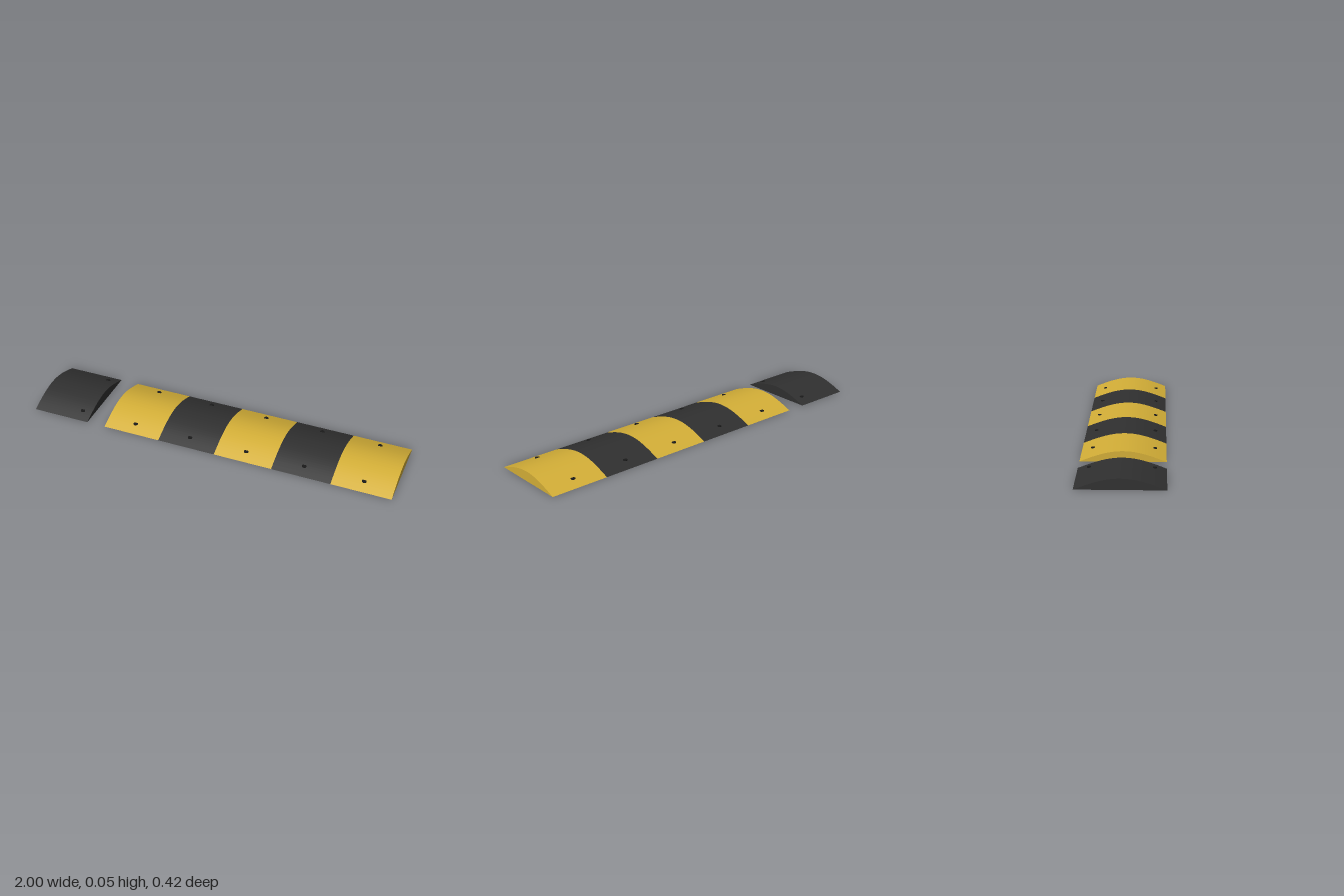
import * as THREE from 'three';

const HALF_DEPTH = 0.211, HEIGHT = 0.053, LENGTH = 0.316;

export function createModel() {
  const yellow = new THREE.MeshStandardMaterial({ name: 'safety yellow', color: 0xd4af37 });
  const black = new THREE.MeshStandardMaterial({ name: 'rubber black', color: 0x303030 });
  const dark = new THREE.MeshStandardMaterial({ name: 'bolt black', color: 0x1a1a1a });
  const group = new THREE.Group();
  group.name = 'speedBump';

  // Cosine hump profile, extruded along x
  const profile = [];
  const steps = 32;
  for (let i = 0; i <= steps; i++) {
    const t = 1 - (2 * i) / steps;
    profile.push(new THREE.Vector2(t * HALF_DEPTH, HEIGHT * Math.cos((t * Math.PI) / 2)));
  }
  const hump = new THREE.ExtrudeGeometry(new THREE.Shape(profile), { depth: LENGTH, bevelEnabled: false });
  hump.rotateY(Math.PI / 2);
  hump.translate(-LENGTH / 2, 0, 0);

  // Small flat bolt heads, partly sunk into the slope
  const bolt = new THREE.CylinderGeometry(0.012, 0.012, 0.004, 12);

  for (let i = 0; i < 6; i++) {
    const x = 1 - LENGTH * (i + 0.5);
    // The last block sits apart, but its bolts keep the regular spacing
    const gap = i === 5 ? 0.104 : 0;
    const section = new THREE.Mesh(hump, i % 2 ? black : yellow);
    section.name = i === 5 ? 'detachedSection' : 'section' + (i + 1);
    section.position.x = x - gap;
    group.add(section);

    for (const side of [1, -1]) {
      const head = new THREE.Mesh(bolt, dark);
      head.name = side > 0 ? 'frontBolt' : 'backBolt';
      head.position.set(x, 0.023, side * 0.152);
      group.add(head);
    }
  }
  return group;
}
